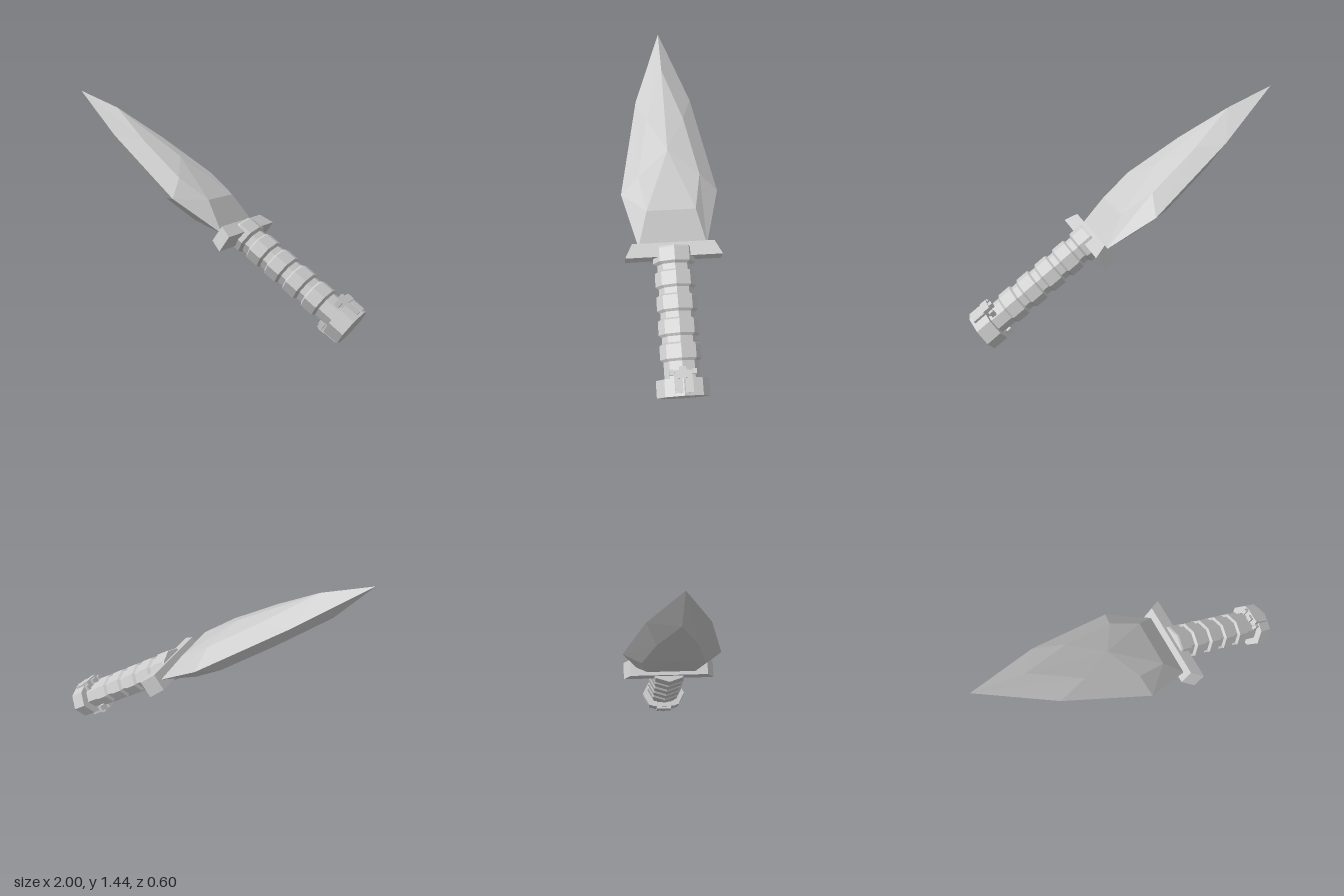
import * as THREE from 'three';

const material = new THREE.MeshStandardMaterial({ color: 0xcccccc, flatShading: true });

function part(name, geometry, parent) {
  const mesh = new THREE.Mesh(geometry, material);
  mesh.name = name;
  parent.add(mesh);
  return mesh;
}

// Faceted leaf blade: sharp outer edge, raised inner bevel outline and a central peak.
// Points are [z, y]; x is the thickness direction.
function bladeGeometry() {
  const loop = (half, tip) => [
    ...half.map(([z, y]) => [-z, y]), [0, tip], ...[...half].reverse(),
  ];
  const edge = loop([[0.21, 0.9], [0.3, 1.242], [0.175, 1.866]], 2.352);
  const bevel = loop([[0.15, 1.105], [0.19, 1.327], [0.115, 1.705]], 2.045);
  const positions = [];
  for (const side of [1, -1]) {
    const tri = (...pts) => positions.push(...(side > 0 ? pts : pts.reverse()).flat());
    const peak = [side * 0.11, 1.482, 0];
    const outer = edge.map(([z, y]) => [0, y, z]);
    const inner = bevel.map(([z, y]) => [side * 0.08, y, z]);
    for (let i = 0; i < outer.length; i++) {
      const j = (i + 1) % outer.length;
      tri(outer[i], outer[j], inner[j]);
      tri(outer[i], inner[j], inner[i]);
      tri(inner[i], inner[j], peak);
    }
  }
  const geometry = new THREE.BufferGeometry();
  geometry.setAttribute('position', new THREE.Float32BufferAttribute(positions, 3));
  geometry.computeVertexNormals();
  return geometry;
}

// Cross guard: a bar whose ends taper towards the blade
function guardGeometry() {
  const shape = new THREE.Shape([
    new THREE.Vector2(-0.295, 0.822), new THREE.Vector2(0.295, 0.822),
    new THREE.Vector2(0.25, 0.909), new THREE.Vector2(-0.25, 0.909),
  ]);
  const geometry = new THREE.ExtrudeGeometry(shape, { depth: 0.11, bevelEnabled: false });
  return geometry.translate(0, 0, -0.055).rotateY(Math.PI / 2);
}

// Octagonal grip with stepped rings, flattened in x
function gripGeometry() {
  const crest = 0.122, valley = 0.104, pitch = 0.144, top = 0.885;
  const profile = [[0, 0.05], [valley, 0.05]];
  for (let i = 4; i >= 0; i--) {
    const y = top - i * pitch;
    const r = i === 0 ? crest + 0.005 : crest;
    profile.push([valley, y - 0.108], [r, y - 0.094], [r, y - 0.012]);
    profile.push([i === 0 ? r - 0.006 : valley, y]);
  }
  profile.push([0, top]);
  const points = profile.map(([x, y]) => new THREE.Vector2(x, y));
  return new THREE.LatheGeometry(points, 8).scale(0.785, 1, 1);
}

export function createModel() {
  const model = new THREE.Group();
  model.name = 'dagger';

  // Everything is built upright along y, then tilted
  const dagger = new THREE.Group();
  dagger.name = 'tiltedDagger';
  dagger.rotation.z = THREE.MathUtils.degToRad(55.1);
  dagger.position.set(0.931, 0.1, 0);
  model.add(dagger);

  part('blade', bladeGeometry(), dagger);
  part('guard', guardGeometry(), dagger);
  part('grip', gripGeometry(), dagger);

  // Octagonal pommel
  const pommel = new THREE.CylinderGeometry(0.155, 0.155, 0.1, 8);
  part('pommel', pommel.scale(0.77, 1, 1).translate(0, 0.05, 0), dagger);

  // Clasps on both flat sides of the pommel
  for (const side of [1, -1]) {
    const clasp = new THREE.Group();
    clasp.name = side > 0 ? 'upperClasp' : 'lowerClasp';
    dagger.add(clasp);
    const block = (name, w, h, d, x, y, z) =>
      part(name, new THREE.BoxGeometry(w, h, d), clasp).position.set(side * x, y, z);
    block('claspPlate', 0.03, 0.085, 0.105, 0.102, 0.06, 0);
    block('claspBar', 0.05, 0.045, 0.1, 0.1, 0.12, 0);
    block('claspTab', 0.03, 0.025, 0.036, 0.1, 0.152, 0);
    for (const z of [-0.066, 0.066]) block('claspProng', 0.035, 0.03, 0.025, 0.087, 0.135, z);
  }
  return model;
}
